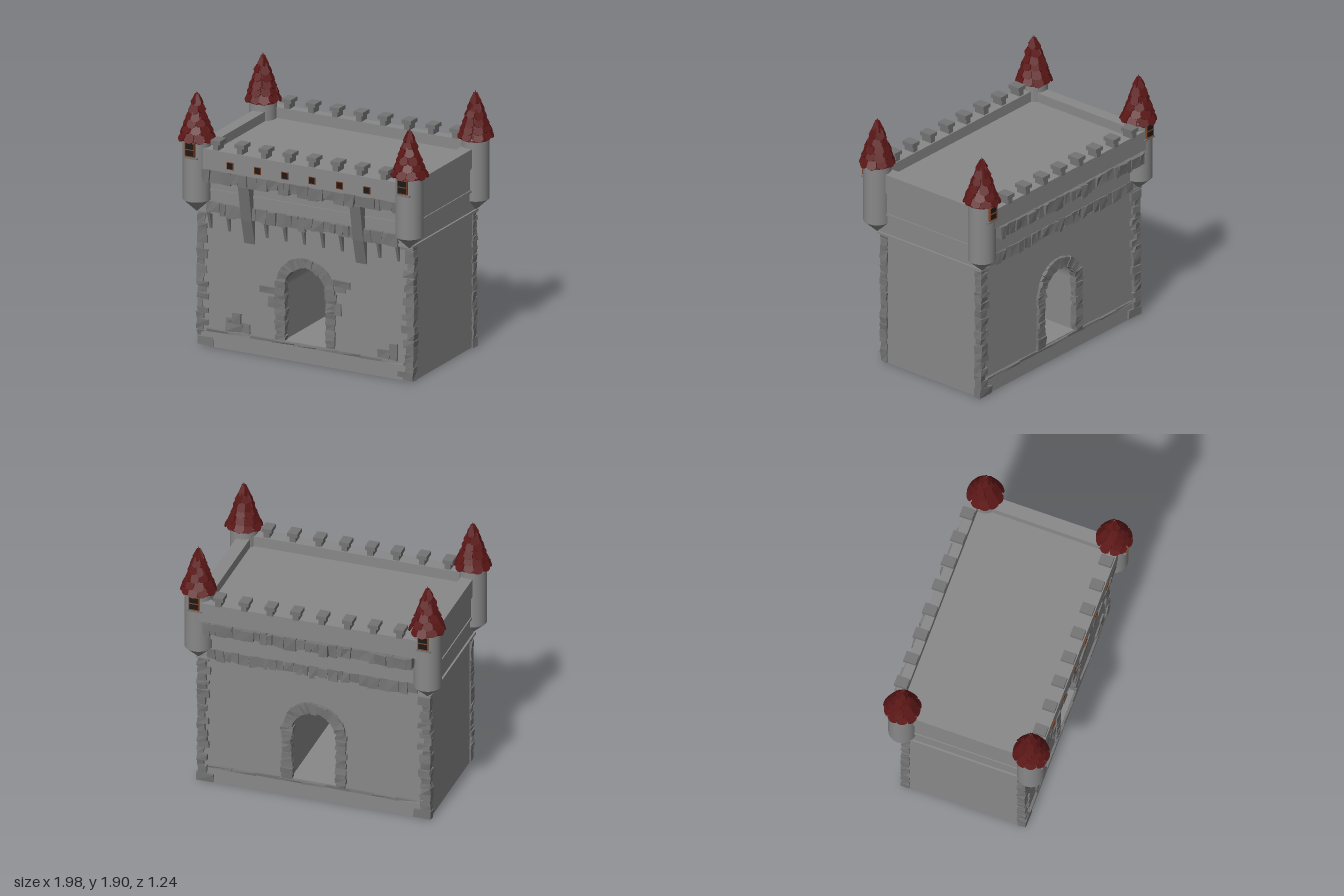
import * as THREE from 'three';
import { mergeGeometries } from 'three/addons/utils/BufferGeometryUtils.js';

const CX = -0.008, HX = 0.86;          // wall centre and half width
const ZF = 0.44, ZB = -0.46;           // front and back wall faces

let seed = 7;
const rnd = (a = 0, b = 1) => {
  seed = (seed * 16807) % 2147483647;
  return a + (b - a) * seed / 2147483647;
};

const grey = new THREE.MeshStandardMaterial({ color: 0x888888, flatShading: true });
const smooth = new THREE.MeshStandardMaterial({ color: 0x888888 });
const rock = new THREE.MeshStandardMaterial({ color: 0x747474, flatShading: true });
const red = new THREE.MeshStandardMaterial({ color: 0x5c1717, flatShading: true });
const orange = new THREE.MeshStandardMaterial({ color: 0x7d4526 });
const dark = new THREE.MeshStandardMaterial({ color: 0x1f1815 });

// box given by its limits
function block(x0, x1, y0, y1, z0, z1) {
  return new THREE.BoxGeometry(x1 - x0, y1 - y0, z1 - z0)
    .translate((x0 + x1) / 2, (y0 + y1) / 2, (z0 + z1) / 2);
}

// rough-hewn stone: a box whose eight corners are nudged
function stone(w, h, d, j = 0.007) {
  const g = new THREE.BoxGeometry(w, h, d), p = g.attributes.position;
  const n = Array.from({ length: 8 }, () => [rnd(-j, j), rnd(-j, j), rnd(-j, j)]);
  for (let i = 0; i < p.count; i++) {
    const k = n[(p.getX(i) > 0 ? 1 : 0) + (p.getY(i) > 0 ? 2 : 0) + (p.getZ(i) > 0 ? 4 : 0)];
    p.setXYZ(i, p.getX(i) + k[0], p.getY(i) + k[1], p.getZ(i) + k[2]);
  }
  return g;
}

function add(parent, name, geos, mat) {
  const list = [].concat(geos).map(g => (g.index ? g.toNonIndexed() : g));
  const mesh = new THREE.Mesh(mergeGeometries(list), mat);
  mesh.name = name;
  parent.add(mesh);
}

// side profile of [z, y] points, extruded to a width in x
function bracket(x, w, pts) {
  const s = new THREE.Shape(pts.map(([z, y]) => new THREE.Vector2(-z, y)));
  return new THREE.ExtrudeGeometry(s, { depth: w, bevelEnabled: false })
    .rotateY(Math.PI / 2).translate(x - w / 2, 0, 0);
}

// row of irregular stones hanging from a common top line
function course(top, height, zIn, zOut) {
  const out = [];
  for (let x = -0.785; x < 0.74;) {
    const w = rnd(0.035, 0.095), h = height * rnd(0.7, 1), d = (zOut - zIn) * rnd(0.85, 1);
    out.push(stone(w, h, Math.abs(d), 0.006).translate(x + w / 2, top - h / 2, zIn + d / 2));
    x += w + 0.002;
  }
  return out;
}

// jamb stones and voussoirs round the gateway
function archStones(z) {
  const out = [];
  for (const s of [-1, 1]) {
    for (let y = 0.14; y < 0.53;) {
      const h = rnd(0.028, 0.048), w = rnd(0.065, 0.09);
      out.push(stone(w, h, rnd(0.04, 0.055), 0.005).translate(CX + s * 0.202, y + h / 2, z));
      y += h;
    }
  }
  const n = 17;
  for (let i = 0; i < n; i++) {
    const a = (i + 0.5) / n * Math.PI;
    out.push(stone(rnd(0.065, 0.085), 0.042, rnd(0.04, 0.055), 0.005).translate(0.2, 0, 0)
      .rotateZ(a).translate(CX, 0.54, z));
  }
  return out;
}

// corner stones, alternating in width above a wide foot stone
function quoins(sx, z) {
  const out = [];
  for (let y = 0, i = 0; y < 0.98; i++) {
    const h = i ? Math.min(rnd(0.032, 0.065), 1.005 - y) : 0.065;
    const w = i ? (i % 2 ? rnd(0.07, 0.105) : rnd(0.045, 0.075)) : 0.125;
    out.push(stone(w, h, 0.06, 0.006)
      .translate(CX + sx * (HX + rnd(0.006, 0.016) - w / 2), y + h / 2 + 0.003, z));
    y += h;
  }
  return out;
}

// rows of overlapping pointed shingles over a cone
function shingles() {
  const out = [new THREE.ConeGeometry(0.105, 0.36, 16).translate(0, 1.72, 0)];
  for (let i = 0; i < 6; i++) {
    const top = 1.622 + i * 0.051, r = (1.9 - top) * 0.3, tilt = 0.52 - i * 0.035;
    const n = Math.max(5, Math.round((r + 0.04) * 2 * Math.PI / 0.074));
    for (let k = 0; k < n; k++) {
      const w0 = Math.max(0.004, Math.PI * r / n), w1 = Math.PI * (r + 0.035) / n, h = rnd(0.08, 0.096);
      const plate = new THREE.Shape([[-w0, 0], [-w1, -h * 0.78], [-w1 * 0.5, -h * 0.95], [0, -h],
        [w1 * 0.5, -h * 0.95], [w1, -h * 0.78], [w0, 0]].map(p => new THREE.Vector2(...p)));
      out.push(new THREE.ExtrudeGeometry(plate, { depth: 0.008, bevelEnabled: false })
        .rotateZ(rnd(-0.1, 0.1)).rotateX(-tilt - rnd(-0.05, 0.05)).translate(0, top, r)
        .rotateY((k + (i % 2) * 0.5 + rnd(-0.08, 0.08)) / n * 2 * Math.PI));
    }
  }
  return out;
}

// square frame with optional crossbar, facing +z
function frame(w, h, t, d, bar) {
  const g = [block(-w / 2, w / 2, h / 2 - t, h / 2, 0, d), block(-w / 2, w / 2, -h / 2, t - h / 2, 0, d),
    block(-w / 2, t - w / 2, -h / 2, h / 2, 0, d), block(w / 2 - t, w / 2, -h / 2, h / 2, 0, d)];
  if (bar) g.push(block(-w / 2, w / 2, -t / 2, t / 2, 0, d));
  return g;
}

function turret(x, z) {
  const g = new THREE.Group();
  g.name = 'turret';
  add(g, 'turretShaft', new THREE.CylinderGeometry(0.1, 0.1, 0.46, 32).translate(0, 1.33, 0), smooth);
  add(g, 'turretBase', new THREE.CylinderGeometry(0.1, 0.005, 0.09, 32).translate(0, 1.055, 0), smooth);
  add(g, 'turretRoof', shingles(), red);
  add(g, 'turretWindowFrame', frame(0.078, 0.105, 0.005, 0.016, true)
    .map(b => b.translate(0, 1.49, 0.094)), orange);
  add(g, 'turretWindow', block(-0.036, 0.036, 1.44, 1.54, 0.07, 0.104), dark);
  add(g, 'turretSill', block(-0.055, 0.055, 1.422, 1.432, 0.06, 0.106), rock);
  g.position.set(x, 0, z);
  if (z < 0) g.rotation.y = Math.PI;
  return g;
}

export function createModel() {
  seed = 7;
  const m = new THREE.Group();
  m.name = 'gatehouse';
  const L = CX - HX, R = CX + HX;

  // lower walls with the gateway passing right through
  const wall = new THREE.Shape([[L, 0], [R, 0], [R, 1], [L, 1]].map(p => new THREE.Vector2(...p)));
  const hole = new THREE.Path();
  hole.moveTo(CX - 0.175, 0.14).lineTo(CX - 0.175, 0.54);
  hole.absarc(CX, 0.54, 0.175, Math.PI, 0, true);
  hole.lineTo(CX + 0.175, 0.14);
  wall.holes.push(hole);
  add(m, 'lowerWalls', new THREE.ExtrudeGeometry(wall, { depth: ZF - ZB, bevelEnabled: false, curveSegments: 20 })
    .translate(0, 0, ZB), grey);
  add(m, 'plinth', block(L + 0.02, R - 0.02, 0, 0.115, ZB - 0.006, ZF + 0.006), grey);
  const ledge = [];
  for (const z of [ZF, ZB]) {
    for (let i = 0; i < 9; i++) {
      ledge.push(stone(0.178, 0.018, 0.032, 0.004).translate(CX + (i - 4) * 0.176, 0.125, z));
    }
  }
  add(m, 'plinthLedge', ledge, rock);

  // upper storey, string courses, parapet and deck
  add(m, 'upperWalls', [block(L - 0.004, R + 0.004, 1, 1.18, -0.485, 0.465),
    block(L - 0.01, R + 0.01, 1.18, 1.42, -0.506, 0.465)], grey);
  add(m, 'stringCourses', [1.0, 1.165, 1.34].map(y =>
    block(L - 0.018, R + 0.018, y, y + 0.018, -0.49, 0.473)), grey);
  add(m, 'parapet', [block(-0.89, 0.875, 1.35, 1.5, 0.44, 0.542), block(-0.89, 0.875, 1.35, 1.5, -0.575, -0.505),
    block(-0.89, -0.8, 1.35, 1.49, -0.505, 0.44), block(0.78, 0.875, 1.35, 1.49, -0.505, 0.44)], grey);
  const merlons = [];
  for (let i = 0; i < 8; i++) {
    const x = -0.683 + i * 0.193;
    for (const z of [0.492, -0.548]) {
      merlons.push(block(x - 0.022, x + 0.022, 1.5, 1.55, z - 0.042, z + 0.042),
        block(x - 0.038, x + 0.038, 1.543, 1.572, z - 0.047, z + 0.047));
    }
  }
  add(m, 'merlons', merlons, rock);

  // rough stone courses, quoins and gateway surrounds
  add(m, 'stoneCourses', [...course(1.35, 0.1, 0.45, 0.553), ...course(1.09, 0.1, 0.43, 0.49),
    ...course(1.35, 0.1, -0.47, -0.61), ...course(1.09, 0.1, -0.45, -0.498)], rock);
  add(m, 'quoins', [-1, 1].flatMap(s => [...quoins(s, 0.418), ...quoins(s, -0.453)]), rock);
  add(m, 'gatewaySurrounds', [...archStones(0.43), ...archStones(-0.46)], rock);

  // brackets below the front course
  const small = [];
  for (let i = 0; i < 11; i++) {
    if (i === 2 || i === 8) continue;
    small.push(bracket(-0.77 + i * 0.151, 0.02, [[0.43, 0.88], [0.445, 0.88], [0.483, 1.01], [0.43, 1.01]]));
  }
  add(m, 'smallBrackets', small, rock);
  add(m, 'largeBrackets', [-0.458, 0.44].map(x => bracket(x, 0.085,
    [[0.43, 0.815], [0.445, 0.815], [0.492, 1.0], [0.54, 1.27], [0.43, 1.27]])), rock);

  // exposed patches of masonry on the front: x, y, width, height
  add(m, 'looseStones', [[0.285, 0.63, 0.13, 0.05], [0.27, 0.59, 0.08, 0.04], [0.25, 0.44, 0.06, 0.08],
    [-0.31, 0.5, 0.13, 0.05], [-0.28, 0.41, 0.06, 0.08], [-0.58, 0.17, 0.14, 0.06], [-0.56, 0.24, 0.07, 0.08],
    [-0.49, 0.18, 0.07, 0.07], [-0.62, 0.22, 0.05, 0.04], [0.62, 0.17, 0.1, 0.06], [0.7, 0.2, 0.06, 0.12]]
    .map(([x, y, w, h]) => stone(w, h, 0.03, 0.006).translate(x, y, 0.437)), rock);

  // row of small front windows
  const frames = [], panes = [];
  for (let i = 0; i < 6; i++) {
    const x = -0.56 + i * 0.22;
    frames.push(...frame(0.054, 0.054, 0.004, 0.012).map(b => b.translate(x, 1.405, 0.536)));
    panes.push(block(x - 0.024, x + 0.024, 1.381, 1.429, 0.53, 0.545));
  }
  add(m, 'windowFrames', frames, orange);
  add(m, 'windowPanes', panes, dark);

  for (const x of [-0.86, 0.85]) for (const z of [0.485, -0.48]) m.add(turret(x, z));
  return m;
}
